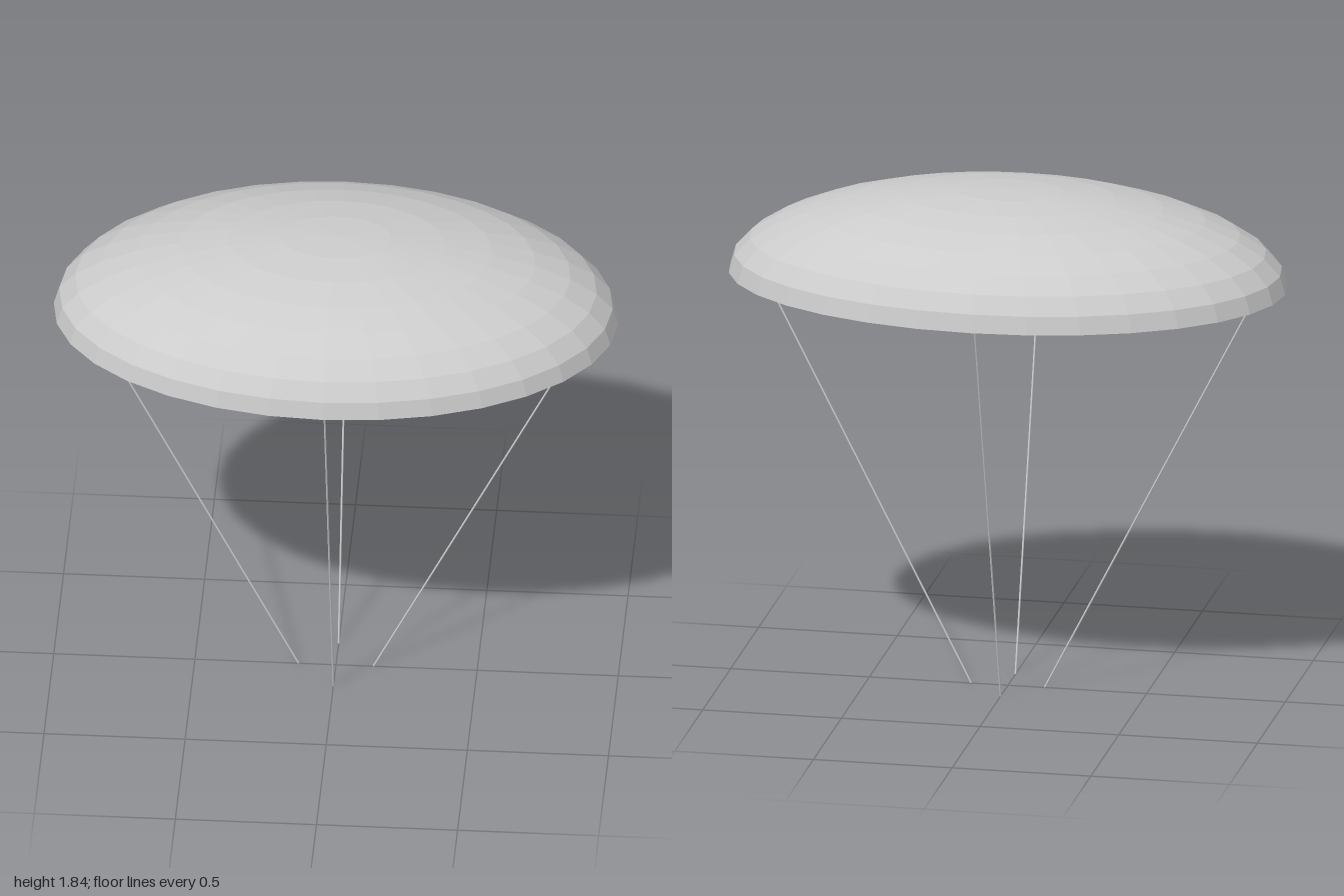
import * as THREE from 'three';

const RIM_Y = 1.507, HEIGHT = 0.333, DEPTH = 2 / 3;

// Thin straight cord between two points
function cord(from, to, material) {
  const dir = to.clone().sub(from);
  const mesh = new THREE.Mesh(new THREE.CylinderGeometry(0.0035, 0.0035, dir.length(), 8), material);
  mesh.position.copy(from).add(to).multiplyScalar(0.5);
  mesh.quaternion.setFromUnitVectors(new THREE.Vector3(0, 1, 0), dir.normalize());
  return mesh;
}

export function createModel() {
  const group = new THREE.Group();
  const cloth = new THREE.MeshStandardMaterial({ color: 0xcccccc, flatShading: true, side: THREE.DoubleSide });
  const line = new THREE.MeshStandardMaterial({ color: 0xcccccc });

  // Open, faceted oval dome
  const dome = new THREE.SphereGeometry(1, 32, 8, 0, Math.PI * 2, 0, Math.PI / 2);
  dome.scale(1, HEIGHT, DEPTH);
  const canopy = new THREE.Mesh(dome, cloth);
  canopy.name = 'canopy';
  canopy.position.y = RIM_Y;
  group.add(canopy);

  // Four suspension cords converging downwards
  const cords = { leftCord: [1, 0], rightCord: [-1, 0], frontCord: [0, 1], backCord: [0, -1] };
  for (const [name, [x, z]] of Object.entries(cords)) {
    const bottom = new THREE.Vector3(x * 0.133, 0.0015, z * 0.133);
    const top = new THREE.Vector3(x * 0.9, RIM_Y, z * 0.6);
    const mesh = cord(bottom, top, line);
    mesh.name = name;
    group.add(mesh);
  }
  return group;
}
